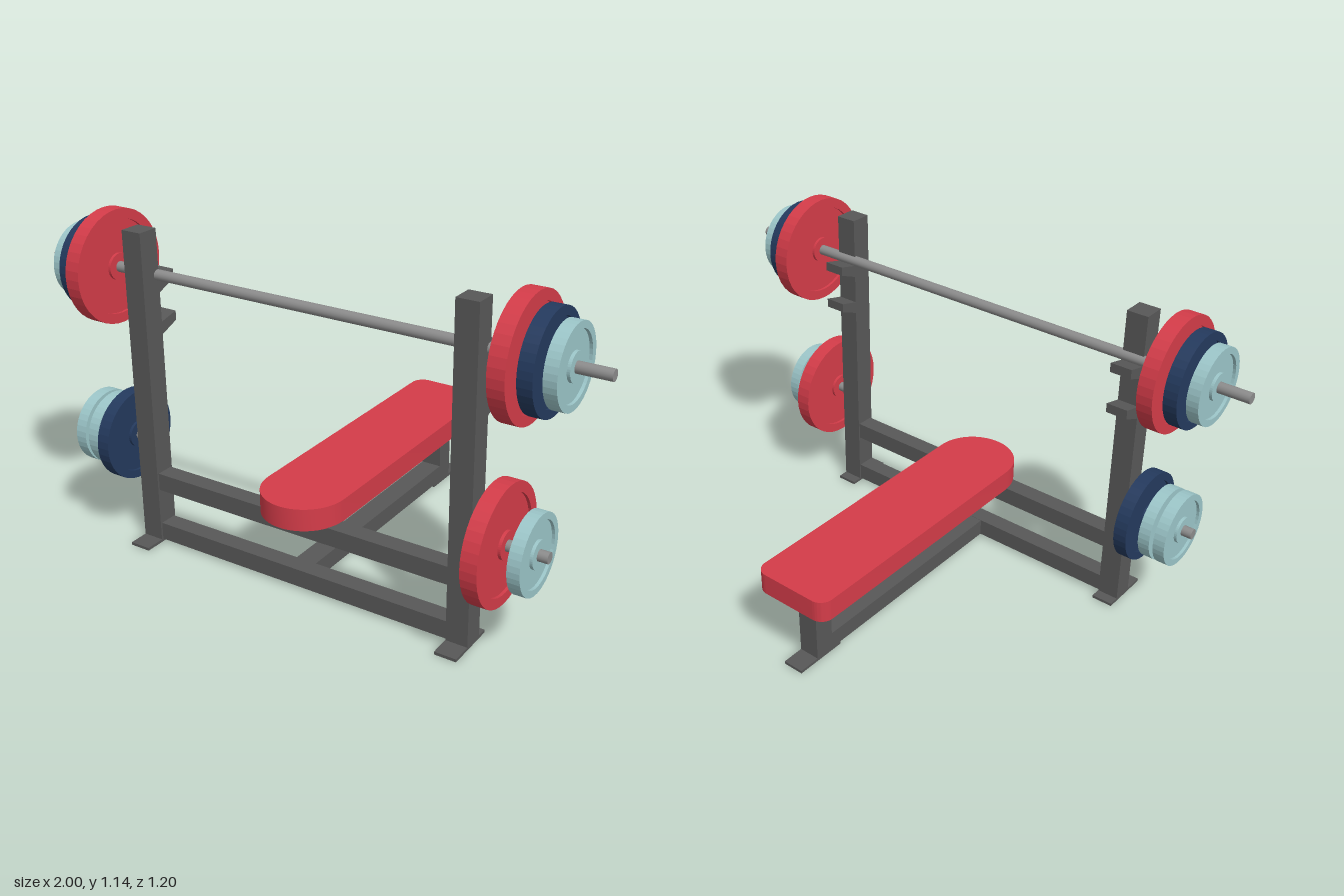
import * as THREE from 'three';
import { toCreasedNormals } from 'three/addons/utils/BufferGeometryUtils.js';

const material = (color, flatShading = false) => new THREE.MeshStandardMaterial({ color, flatShading });

export function createModel() {
  const model = new THREE.Group();
  model.name = 'weightBench';
  const frame = material(0x585858);
  const steel = material(0x8c8c8c);
  const red = material(0xd43c49, true);
  const navy = material(0x243a5e, true);
  const teal = material(0x9cc6c9, true);

  const add = (name, geometry, mat, parent = model) => {
    const mesh = new THREE.Mesh(geometry, mat);
    mesh.name = name;
    parent.add(mesh);
    return mesh;
  };

  // Box given by its limits on each axis
  const box = (name, [x0, x1], [y0, y1], [z0, z1], mat = frame) => {
    const mesh = add(name, new THREE.BoxGeometry(x1 - x0, y1 - y0, z1 - z0), mat);
    mesh.position.set((x0 + x1) / 2, (y0 + y1) / 2, (z0 + z1) / 2);
    return mesh;
  };

  // Round rod lying along x
  const rod = (name, x0, x1, y, z, radius) => {
    const geometry = new THREE.CylinderGeometry(radius, radius, x1 - x0, 20).rotateZ(Math.PI / 2);
    add(name, geometry, steel).position.set((x0 + x1) / 2, y, z);
  };

  // Weight plate: rim, recessed web and hub on both faces, axis along x
  const plate = (name, x, y, z, radius, width, mat) => {
    const h = width / 2, web = h - 0.01, rim = radius * 0.825, hub = 0.045;
    const half = [[0, h], [hub, h], [hub, web], [rim, web], [rim, h], [radius, h]];
    const profile = [
      ...half.map(([r, t]) => new THREE.Vector2(r, -t)),
      ...half.reverse().map(([r, t]) => new THREE.Vector2(r, t)),
    ];
    const geometry = new THREE.LatheGeometry(profile, 40).rotateZ(Math.PI / 2);
    add(name, geometry, mat).position.set(x, y, z);
  };
  const redPlate = (x, y, z) => plate('largePlate', x, y, z, 0.192, 0.054, red);
  const navyPlate = (x, y, z) => plate('mediumPlate', x, y, z, 0.157, 0.046, navy);
  const tealPlate = (x, y, z) => plate('smallPlate', x, y, z, 0.127, 0.041, teal);

  // Bar rest: slanted wedge on the bench side of an upright
  const barRest = (xCentre, y) => {
    const shape = new THREE.Shape([
      [0.372, 0], [0.372, 0.044], [0.30, 0.062], [0.30, 0.03],
    ].map(([z, dy]) => new THREE.Vector2(z, y + dy)));
    const geometry = new THREE.ExtrudeGeometry(shape, { depth: 0.075, bevelEnabled: false });
    geometry.translate(0, 0, -0.0375).rotateY(-Math.PI / 2);
    add('barRest', geometry, frame).position.x = xCentre;
  };

  // Uprights with feet, bar rests and storage pegs
  const barY = 0.952, barZ = 0.375, pegY = 0.375, pegZ = 0.4075;
  for (const side of [-1, 1]) {
    const c = side * 0.5975;
    const across = [c - 0.0375, c + 0.0375];
    box('upright', across, [0.008, 1.106], [0.37, 0.445]);
    box('frontFoot', across, [0, 0.01], [0.333, 0.515]);
    barRest(c, 0.745);
    barRest(c, 0.89);
    const ends = [side * 0.63, side * 0.865].sort((a, b) => a - b);
    rod('storagePeg', ends[0], ends[1], pegY, pegZ, 0.018);

    // Plates loaded on the bar
    redPlate(side * 0.748, barY, barZ);
    navyPlate(side * 0.814, barY, barZ);
    tealPlate(side * 0.872, barY, barZ);
  }
  rod('bar', -1, 1, barY, barZ, 0.018);

  // Plates stored on the pegs
  redPlate(0.706, pegY, pegZ);
  tealPlate(0.812, pegY, pegZ);
  navyPlate(-0.682, pegY, pegZ);
  tealPlate(-0.754, pegY, pegZ);
  tealPlate(-0.809, pegY, pegZ);

  // Upper and lower rails: crossbeam plus spine running to the rear post
  for (const y of [0.01, 0.2]) {
    box('crossBeam', [-0.565, 0.565], [y, y + 0.062], [0.375, 0.438]);
    box('spine', [-0.0375, 0.0375], [y, y + 0.061], [-0.455, 0.38]);
  }
  box('rearPost', [-0.0375, 0.0375], [0.008, 0.262], [-0.522, -0.45]);
  box('rearFoot', [-0.0375, 0.0375], [0, 0.01], [-0.6, -0.41]);

  // Bench pad: half-round head end, small corner rounds at the rear
  const w = 0.146, r = 0.045, back = -0.6, headZ = 0.515 - w;
  const outline = new THREE.Shape();
  outline.moveTo(-w + r, back);
  outline.lineTo(w - r, back);
  outline.absarc(w - r, back + r, r, -Math.PI / 2, 0, false);
  outline.lineTo(w, headZ);
  outline.absarc(0, headZ, w, 0, Math.PI, false);
  outline.lineTo(-w, back + r);
  outline.absarc(-w + r, back + r, r, Math.PI, Math.PI * 1.5, false);
  const pad = new THREE.ExtrudeGeometry(outline, { depth: 0.076, bevelEnabled: false, curveSegments: 16 });
  pad.rotateX(Math.PI / 2).translate(0, 0.337, 0);
  add('benchPad', toCreasedNormals(pad, 0.6), material(0xd43c49));

  return model;
}
